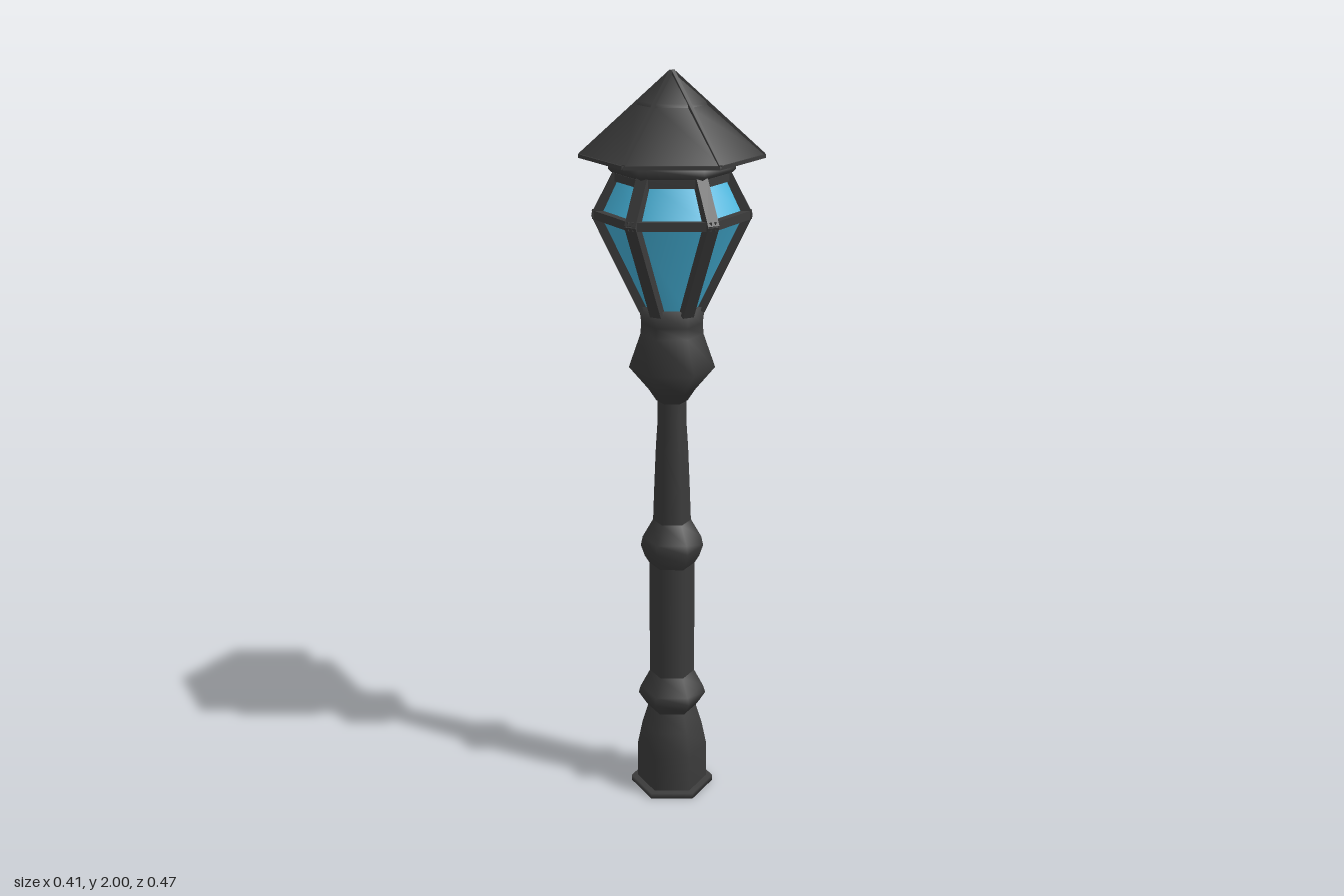
import * as THREE from 'three';

const iron = new THREE.MeshStandardMaterial({ color: 0x3c3c3c });
const glass = new THREE.MeshStandardMaterial({ color: 0x48b8e0, side: THREE.DoubleSide });

// Six-sided turned part with corners on +z and -z; profile runs bottom to top as [radius, y]
function turned(name, profile, material = iron) {
  const geometry = new THREE.LatheGeometry(profile.map(([r, y]) => new THREE.Vector2(r, y)), 6);
  const mesh = new THREE.Mesh(geometry, material);
  mesh.name = name;
  return mesh;
}

// Point on corner i of a hexagon of radius r at height y
function corner(i, r, y) {
  const a = (i * Math.PI) / 3;
  return new THREE.Vector3(r * Math.sin(a), y, r * Math.cos(a));
}

// Rectangular bar from a to b, turned so its depth faces away from the axis
function bar(name, a, b, width, depth) {
  const along = b.clone().sub(a);
  const mesh = new THREE.Mesh(new THREE.BoxGeometry(width, along.length(), depth), iron);
  const mid = a.clone().add(b).multiplyScalar(0.5);
  const up = along.normalize();
  const side = up.clone().cross(new THREE.Vector3(mid.x, 0, mid.z));
  if (side.lengthSq() < 1e-8) side.set(1, 0, 0);
  side.normalize();
  const out = side.clone().cross(up);
  mesh.quaternion.setFromRotationMatrix(new THREE.Matrix4().makeBasis(side, up, out));
  mesh.position.copy(mid);
  mesh.name = name;
  return mesh;
}

export function createModel() {
  const lamp = new THREE.Group();
  lamp.name = 'streetLamp';

  // Base plate and post
  lamp.add(turned('basePlate', [[0, 0], [0.116, 0], [0.116, 0.016], [0, 0.018]]));
  lamp.add(turned('pedestal', [[0.098, 0.014], [0.098, 0.12], [0.084, 0.19], [0.066, 0.25]]));
  lamp.add(turned('lowerKnob', [[0.064, 0.24], [0.078, 0.26], [0.094, 0.285], [0.088, 0.305], [0.062, 0.355]]));
  lamp.add(turned('lowerPost', [[0.062, 0.34], [0.062, 0.69]]));
  lamp.add(turned('upperKnob', [[0.06, 0.68], [0.075, 0.705], [0.085, 0.735], [0.08, 0.76], [0.052, 0.81]]));
  lamp.add(turned('upperPost', [[0.052, 0.79], [0.048, 0.9], [0.043, 1.02], [0.039, 1.08], [0.038, 1.17]]));
  lamp.add(turned('lanternCup', [
    [0.03, 1.14], [0.042, 1.15], [0.062, 1.18], [0.113, 1.24], [0.082, 1.33], [0.08, 1.36], [0.085, 1.405], [0, 1.41],
  ]));

  // Glass panes, set slightly inside the frame
  lamp.add(turned('lowerGlass', [[0.074, 1.4], [0.188, 1.64]], glass));
  lamp.add(turned('upperGlass', [[0.188, 1.64], [0.138, 1.745]], glass));

  // Lantern frame
  const frame = new THREE.Group();
  frame.name = 'lanternFrame';
  for (let i = 0; i < 6; i++) {
    frame.add(bar('lowerUpright', corner(i, 0.073, 1.395), corner(i, 0.193, 1.645), 0.032, 0.024));
    frame.add(bar('upperUpright', corner(i, 0.193, 1.638), corner(i, 0.137, 1.745), 0.032, 0.024));
    frame.add(bar('middleRail', corner(i, 0.194, 1.642), corner(i + 1, 0.194, 1.642), 0.022, 0.02));
    frame.add(bar('topRail', corner(i, 0.141, 1.737), corner(i + 1, 0.141, 1.737), 0.02, 0.02));
  }
  lamp.add(frame);

  // Collar under the roof
  lamp.add(turned('collar', [[0, 1.742], [0.145, 1.742], [0.16, 1.755], [0.16, 1.775], [0.14, 1.785]]));

  // Roof: underside, lower slope and cap
  lamp.add(turned('roofUnderside', [[0, 1.783], [0.234, 1.783]]));
  lamp.add(turned('roofSlope', [[0.234, 1.783], [0.234, 1.79], [0.085, 1.918]]));
  lamp.add(turned('roofCap', [[0.09, 1.914], [0.086, 1.923], [0, 1.996]]));
  const ribs = new THREE.Group();
  ribs.name = 'roofRibs';
  for (let i = 0; i < 6; i++) {
    ribs.add(bar('rib', corner(i, 0.23, 1.791), corner(i, 0.003, 1.994), 0.009, 0.009));
    ribs.add(bar('eave', corner(i, 0.231, 1.788), corner(i + 1, 0.231, 1.788), 0.009, 0.009));
  }
  lamp.add(ribs);

  return lamp;
}
